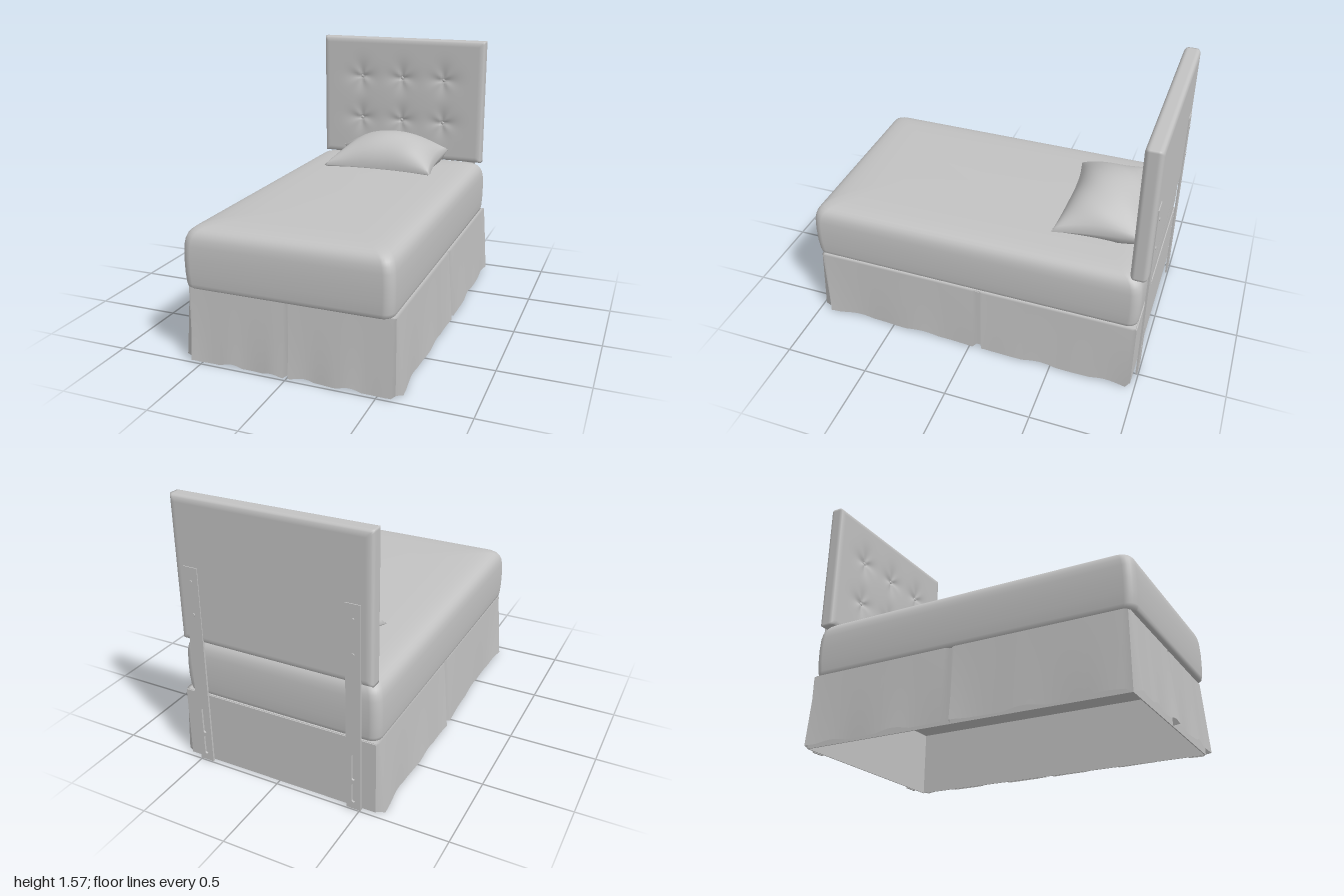
import * as THREE from 'three';
import { mergeVertices } from 'three/addons/utils/BufferGeometryUtils.js';
import { ParametricGeometry } from 'three/addons/geometries/ParametricGeometry.js';

const fabric = new THREE.MeshStandardMaterial({ color: 0xc2c2c2, side: THREE.DoubleSide });
fabric.name = 'greyFabric';

function add(parent, name, geometry, x = 0, y = 0, z = 0) {
  const mesh = new THREE.Mesh(geometry, fabric);
  mesh.name = name;
  mesh.position.set(x, y, z);
  parent.add(mesh);
  return mesh;
}

// Stack of rounded rectangles; each level is [y, inset]
function loftRounded(width, depth, radius, levels) {
  const pos = [], index = [], steps = 7, n = steps * 4;
  for (const [y, inset] of levels) {
    const cx = width / 2 - inset - radius, cz = depth / 2 - inset - radius;
    for (let q = 0; q < 4; q++) {
      const sx = q === 0 || q === 3 ? 1 : -1, sz = q < 2 ? 1 : -1;
      for (let i = 0; i < steps; i++) {
        const a = (q + i / (steps - 1)) * Math.PI / 2;
        pos.push(sx * cx + radius * Math.cos(a), y, sz * cz + radius * Math.sin(a));
      }
    }
  }
  const last = levels.length - 1;
  for (let r = 0; r < last; r++) {
    for (let i = 0; i < n; i++) {
      const a = r * n + i, b = r * n + (i + 1) % n;
      index.push(a, a + n, b, b, a + n, b + n);
    }
  }
  // bottom and top caps
  const c = pos.length / 3;
  pos.push(0, levels[0][0], 0, 0, levels[last][0], 0);
  for (let i = 0; i < n; i++) {
    const j = (i + 1) % n;
    index.push(c, i, j, c + 1, last * n + j, last * n + i);
  }
  const g = new THREE.BufferGeometry();
  g.setAttribute('position', new THREE.Float32BufferAttribute(pos, 3));
  g.setIndex(index);
  g.computeVertexNormals();
  return g;
}

const BUTTONS = [];
for (const y of [1.31, 1.02]) for (const x of [-0.29, 0, 0.29]) BUTTONS.push([x, y]);

// Upholstered board: square outline, rounded front and back edges, button dimples
function headboardGeometry() {
  const w = 1.128, h = 0.812, d = 0.096, r = 0.026;
  const g = new THREE.BoxGeometry(w, h, d, 90, 66, 24);
  g.deleteAttribute('uv');
  g.deleteAttribute('normal');
  const p = g.attributes.position;
  for (let i = 0; i < p.count; i++) {
    let x = p.getX(i), y = p.getY(i), z = p.getZ(i);
    const over = Math.max(0, Math.abs(z) - (d / 2 - r));
    const inset = r - Math.sqrt(Math.max(0, r * r - over * over));
    x *= 1 - inset / (w / 2);
    y *= 1 - inset / (h / 2);
    if (z > d / 2 - 0.001) {
      let dent = 0;
      for (const [bx, by] of BUTTONS) {
        const dx = x - bx, dy = y + 1.17 - by, q = Math.hypot(dx, dy);
        const fold = 1 + 0.4 * Math.cos(4 * Math.atan2(dy, dx));
        dent += 0.012 * Math.exp(-q / 0.02) + 0.012 * Math.exp(-q * q / 0.009) * fold;
      }
      z -= Math.min(dent, 0.028);
    }
    p.setXYZ(i, x, y, z);
  }
  const m = mergeVertices(g, 1e-5);
  m.computeVertexNormals();
  return m;
}

// Hanging cloth panel along local x, flaring toward +z at the hem, edges tucked in
function skirtPanel(x0, x1, flare, endFlare, seed) {
  return new ParametricGeometry((u, v, out) => {
    const drop = 1 - v, end = Math.pow(Math.abs(2 * u - 1), 4);
    const wave = 0.004 * Math.sin(u * 7 + seed) + 0.003 * Math.sin(u * 13 + seed * 2.3);
    let o = 0.004 + drop * (flare + endFlare * end) + wave * drop * drop;
    if (u < 0.001 || u > 0.999) o = -0.004;
    const ripple = Math.max(0, Math.sin(u * 14 + seed * 1.7));
    const hem = 0.012 + 0.016 * ripple * (1 - end);
    const y = hem + (0.432 - hem) * Math.min(1, v / 0.95);
    if (v > 0.96) o = -0.012;
    out.set(x0 + (x1 - x0) * u, y, o);
  }, 48, 20);
}

// Half of the pillow: sign +1 for the plump top, -1 for the flattened underside
function pillowHalf(sign) {
  const mix = THREE.MathUtils.lerp;
  return new ParametricGeometry((a, b, out) => {
    const u = sign > 0 ? a : 1 - a, v = b;
    const s = 2 * u - 1, t = 1 - 2 * v;
    const eu = 1 - s * s, ev = 1 - t * t;
    // v = 0 is the front edge, v = 1 the back edge
    const left = mix(-0.365, -0.40, v) + 0.075 * ev;
    const right = mix(0.355, 0.34, v) - 0.02 * ev;
    const front = mix(-0.39, -0.40, u) - 0.035 * eu;
    const back = mix(-0.85, -0.90, u) + 0.005 * eu;
    const seam = mix(mix(0.795, 0.79, u), mix(0.83, 0.845, u), v);
    const puff = Math.pow(eu, 0.55) * Math.pow(ev, 0.5);
    const crease = 0.008 * Math.sin(9 * s + 5 * t) * Math.sqrt(eu * ev) * (1 - puff);
    const y = sign > 0
      ? seam + 0.18 * puff * (1 + 0.15 * t) + crease
      : Math.max(0.782, seam - 0.1 * Math.sqrt(puff));
    out.set(mix(left, right, u), y, mix(front, back, v));
  }, 40, 40);
}

// Flat bar leg with an adjusting slot near the foot
function legGeometry() {
  const s = new THREE.Shape();
  s.moveTo(-0.042, 0.01).lineTo(0.042, 0.01).lineTo(0.042, 1.2).lineTo(-0.042, 1.2).closePath();
  for (const [y0, y1] of [[0.06, 0.16], [0.2, 0.34]]) {
    const slot = new THREE.Path();
    slot.moveTo(-0.01, y0).lineTo(-0.01, y1);
    slot.absarc(0, y1, 0.01, Math.PI, 0, true);
    slot.lineTo(0.01, y0);
    slot.absarc(0, y0, 0.01, 0, -Math.PI, true);
    s.holes.push(slot);
  }
  return new THREE.ExtrudeGeometry(s, { depth: 0.011, bevelEnabled: false });
}

export function createModel() {
  const bed = new THREE.Group();
  bed.name = 'bed';

  add(bed, 'mattress', loftRounded(1.178, 1.962, 0.055, [
    [0.43, 0.035], [0.432, 0.018], [0.44, 0.009], [0.46, 0.005], [0.52, 0.001], [0.6, 0],
    [0.67, 0.003], [0.705, 0.009], [0.728, 0.018], [0.745, 0.031], [0.757, 0.047], [0.766, 0.068],
    [0.773, 0.1], [0.779, 0.15], [0.784, 0.25], [0.787, 0.4],
  ]), -0.006, 0, 0.01);

  // Base: deck and inner walls, open underneath
  const base = new THREE.Group();
  base.name = 'base';
  bed.add(base);
  add(base, 'deck', new THREE.BoxGeometry(1.15, 0.03, 1.9), 0, 0.416, -0.012);
  add(base, 'frontWall', new THREE.BoxGeometry(1.166, 0.422, 0.006), 0.002, 0.219, 0.945);
  add(base, 'backWall', new THREE.BoxGeometry(1.166, 0.422, 0.006), 0.002, 0.219, -0.967);
  for (const side of [-1, 1])
    add(base, 'sideWall', new THREE.BoxGeometry(0.006, 0.422, 1.912), side * 0.58 + 0.002, 0.219, -0.011);

  // Pleated skirt: two panels on the front and on each side
  const skirt = new THREE.Group();
  skirt.name = 'skirt';
  bed.add(skirt);
  add(skirt, 'frontSkirtPanel', skirtPanel(-0.575, -0.006, 0.027, 0.004, 1), 0, 0, 0.95);
  add(skirt, 'frontSkirtPanel', skirtPanel(-0.002, 0.588, 0.027, 0.004, 3.4), 0, 0, 0.95);
  for (const side of [-1, 1]) {
    const ends = [[-0.945, 0.04], [0.058, 0.968]];
    ends.forEach(([a, b], i) => {
      const [x0, x1] = side > 0 ? [a, b] : [-b, -a];
      const panel = add(skirt, 'sideSkirtPanel',
        skirtPanel(x0, x1, 0.02 + 0.006 * i, 0.012, 2 + i * 1.9 + side), side * 0.586, 0, 0);
      panel.rotation.y = side * Math.PI / 2;
    });
  }

  // Headboard with buttons, legs and bolts
  const head = new THREE.Group();
  head.name = 'headboard';
  bed.add(head);
  add(head, 'headboardPanel', headboardGeometry(), -0.002, 1.17, -0.942);
  for (const [x, y] of BUTTONS) {
    const button = add(head, 'button', new THREE.SphereGeometry(0.012, 14, 10), x, y, -0.917);
    button.scale.z = 0.7;
  }
  const leg = legGeometry();
  const bolt = new THREE.CylinderGeometry(0.009, 0.009, 0.012, 12).rotateX(Math.PI / 2);
  for (const side of [-1, 1]) {
    add(head, 'headboardLeg', leg, side * 0.465, 0, -0.995);
    for (const y of [1.12, 0.93]) add(head, 'bolt', bolt, side * 0.465, y, -0.994);
  }

  const pillow = new THREE.Group();
  pillow.name = 'pillow';
  bed.add(pillow);
  add(pillow, 'pillowTop', pillowHalf(1));
  add(pillow, 'pillowUnderside', pillowHalf(-1));

  return bed;
}
